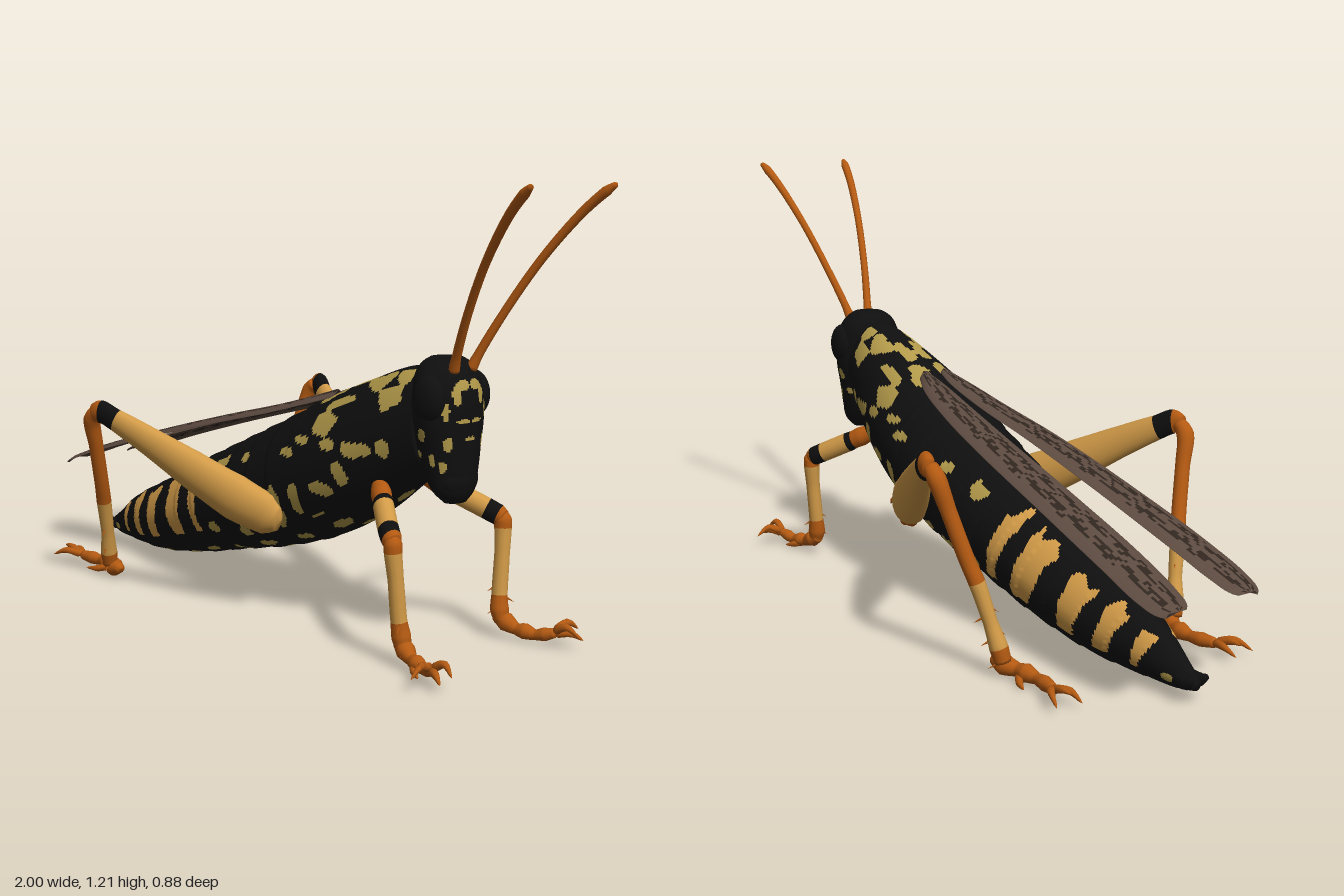
import * as THREE from 'three';

const mat = (name, hex) => Object.assign(new THREE.MeshStandardMaterial({ color: hex }), { name });
const MATS = [
  mat('black', 0x0f0f0f), mat('yellow', 0xb39a4a), mat('tan', 0xd29b48),
  mat('orange', 0xb45a12), mat('wingBrown', 0x5c4a40), mat('wingDark', 0x30261f),
];
const BLACK = 0, YELLOW = 1, TAN = 2, ORANGE = 3, WING = 4, WINGDARK = 5;

// Rows of [position, ...values] to a smooth lookup
function profile(rows) {
  const k = rows[0].length - 1;
  const it = new THREE.CubicInterpolant(rows.map(r => r[0]), rows.flatMap(r => r.slice(1)), k, new Array(k).fill(0));
  return t => [...it.evaluate(t)];
}

// Closed tube-like surface; each cell takes the material that paint() picks
function skin(name, nu, nv, point, paint) {
  const pos = [], pts = [], buckets = MATS.map(() => []);
  for (let i = 0; i <= nu; i++) for (let j = 0; j < nv; j++) {
    const p = point(i / nu, (j / nv) * Math.PI * 2);
    pts.push(p);
    pos.push(p.x, p.y, p.z);
  }
  for (let i = 0; i < nu; i++) for (let j = 0; j < nv; j++) {
    const a = i * nv + j, b = i * nv + (j + 1) % nv, c = a + nv, d = b + nv;
    const mid = pts[a].clone().add(pts[d]).multiplyScalar(0.5);
    buckets[paint(mid, (i + 0.5) / nu)].push(a, b, c, b, d, c);
  }
  const geo = new THREE.BufferGeometry();
  geo.setAttribute('position', new THREE.Float32BufferAttribute(pos, 3));
  geo.setIndex(buckets.flat());
  const used = [];
  let start = 0;
  buckets.forEach((b, m) => {
    if (!b.length) return;
    geo.addGroup(start, b.length, used.length);
    used.push(MATS[m]);
    start += b.length;
  });
  geo.computeVertexNormals();
  const mesh = new THREE.Mesh(geo, used.length > 1 ? used : used[0]);
  mesh.name = name;
  return mesh;
}

// Limb through stations [x, y, z, radius, colour]; each colour runs to the next station
function limb(name, st, side = 1, flat = 1, nv = 12, per = 6) {
  const n = st.length - 1, nu = n * per;
  const curve = new THREE.CatmullRomCurve3(st.map(s => new THREE.Vector3(s[0], s[1], s[2] * side)), false, 'centripetal');
  const Z = new THREE.Vector3(0, 0, 1);
  return skin(name, nu, nv, (u, a) => {
    const i = Math.min(n - 1, Math.floor(u * n + 1e-6)), f = u * n - i;
    const r = u === 0 || u === 1 ? 0 : THREE.MathUtils.lerp(st[i][3], st[i + 1][3], f);
    const t = curve.getTangent(u), n1 = t.clone().cross(Z).normalize(), n2 = t.clone().cross(n1);
    return curve.getPoint(u).addScaledVector(n1, r * Math.cos(a)).addScaledVector(n2, r * flat * Math.sin(a));
  }, (p, u) => st[Math.min(n - 1, Math.floor(u * n))][4]);
}

// True where a ragged oval [cx, cy, rx, ry] covers (x, y)
const wobble = (x, y) => 0.25 * Math.sin(83 * x + 51 * y) + 0.2 * Math.sin(97 * y - 61 * x + 1);
const inSpots = (list, x, y) => list.some(([cx, cy, rx, ry]) =>
  ((x - cx) / rx) ** 2 + ((y - cy) / ry) ** 2 < 1 + wobble(x, y) * 0.9);

// x, top, bottom, half width
const bodyAt = profile([
  [-0.95, 0.07, 0.04, 0.012], [-0.9, 0.1, 0.03, 0.03], [-0.8, 0.17, 0.025, 0.06], [-0.6, 0.265, 0.03, 0.11],
  [-0.4, 0.36, 0.065, 0.145], [-0.2, 0.45, 0.115, 0.165], [0, 0.54, 0.165, 0.178], [0.2, 0.635, 0.235, 0.178],
  [0.35, 0.695, 0.315, 0.155], [0.48, 0.74, 0.41, 0.12], [0.57, 0.75, 0.48, 0.09],
]);
const SIDE_SPOTS = [
  [0.27, 0.575, 0.05, 0.036], [0.32, 0.665, 0.05, 0.018], [0.48, 0.68, 0.035, 0.045], [0.4, 0.52, 0.05, 0.022],
  [0.48, 0.535, 0.02, 0.025], [0.31, 0.525, 0.03, 0.016], [0.2, 0.52, 0.03, 0.012], [0.15, 0.48, 0.03, 0.012],
  [0.28, 0.4, 0.035, 0.02], [0.35, 0.45, 0.022, 0.03], [0.26, 0.31, 0.04, 0.018], [0.11, 0.32, 0.025, 0.06],
  [0.19, 0.36, 0.018, 0.045], [0.03, 0.24, 0.03, 0.02], [-0.06, 0.21, 0.025, 0.02], [-0.13, 0.3, 0.02, 0.025],
  [-0.2, 0.2, 0.025, 0.02], [-0.19, 0.39, 0.03, 0.025], [-0.06, 0.43, 0.02, 0.015], [-0.88, 0.06, 0.02, 0.012],
];
const TOP_SPOTS = [
  [0.22, 0.045, 0.05, 0.03], [0.33, 0.025, 0.055, 0.02], [0.42, 0.06, 0.05, 0.026],
  [0.3, 0.1, 0.05, 0.016], [0.5, 0.05, 0.03, 0.02], [0.04, 0.13, 0.1, 0.012],
];
const BELLY_SPOTS = [
  [0.45, 0, 0.025, 0.02], [0.28, 0.07, 0.035, 0.02], [0.31, 0, 0.025, 0.014], [0.14, 0.08, 0.03, 0.018], [0, 0, 0.055, 0.026],
  [-0.02, 0.085, 0.03, 0.016], [-0.17, 0.06, 0.03, 0.018], [-0.3, 0.07, 0.025, 0.016], [-0.43, 0.04, 0.025, 0.015], [-0.57, 0.05, 0.025, 0.014],
];
// Abdomen bands: place along the body, half thickness
const BANDS = [[-0.755, 0.02], [-0.645, 0.034], [-0.52, 0.042], [-0.345, 0.052], [-0.215, 0.028]];

function paintBody(p) {
  const [top, bot] = bodyAt(p.x), f = (p.y - (top + bot) / 2) / ((top - bot) / 2);
  const s = p.x + 0.36 * p.y, z = Math.abs(p.z);
  if (f > -0.52 && f < 0.78 + wobble(p.x, p.y) * 0.3 &&
      BANDS.some(([c, w]) => Math.abs(s - c) < w * (0.8 + 0.35 * f + 0.35 * wobble(0.5 * p.y, z)))) return TAN;
  if (f > 0.72 ? inSpots(TOP_SPOTS, p.x, z) : f > -0.72 ? inSpots(SIDE_SPOTS, p.x, p.y) : inSpots(BELLY_SPOTS, p.x, z)) return YELLOW;
  return BLACK;
}

function makeBody() {
  return skin('body', 250, 128, (u, a) => {
    const x = -0.95 + 1.52 * u, [top, bot, w] = bodyAt(x);
    const yc = (top + bot) / 2, h = (top - bot) / 2, c = Math.cos(a);
    const s = (x + 0.36 * (yc + h * c)) / 0.11;
    // overlapping abdomen rings
    let k = u === 0 || u === 1 ? 0 : 1;
    if (x < 0.15) k *= 1.015 - 0.03 * (s - Math.floor(s));
    return new THREE.Vector3(x, yc + h * k * c, w * k * Math.sin(a) * (1 - (c > 0 ? 0.1 : 0.05) * c));
  }, paintBody);
}

// y, centre x, half depth, half width
const headAt = profile([
  [0.4, 0.63, 0.02, 0.03], [0.43, 0.624, 0.044, 0.06], [0.48, 0.612, 0.063, 0.076], [0.55, 0.604, 0.075, 0.089],
  [0.62, 0.6, 0.08, 0.102], [0.69, 0.598, 0.08, 0.1], [0.74, 0.593, 0.07, 0.085], [0.765, 0.592, 0.055, 0.06], [0.778, 0.592, 0.035, 0.035],
]);
const FACE_SPOTS = [
  [0.712, 0.025, 0.014, 0.022], [0.69, 0.042, 0.026, 0.011], [0.62, 0.026, 0.005, 0.02], [0.645, 0.068, 0.025, 0.008],
  [0.56, 0.06, 0.02, 0.012], [0.575, 0.008, 0.006, 0.014], [0.5, 0.068, 0.015, 0.008],
];
const CHEEK_SPOTS = [[0.6, 0.585, 0.012, 0.02], [0.575, 0.53, 0.014, 0.012], [0.625, 0.52, 0.008, 0.018]];

function makeHead() {
  const head = new THREE.Group();
  head.name = 'head';
  head.add(skin('skull', 100, 90, (u, a) => {
    const y = 0.4 + 0.378 * u, [cx, rx, rz] = headAt(y), k = u === 0 || u === 1 ? 0 : 1;
    return new THREE.Vector3(cx + rx * k * Math.sin(a), y, rz * k * Math.cos(a));
  }, p => ((p.x > 0.64 ? inSpots(FACE_SPOTS, p.y, Math.abs(p.z)) : inSpots(CHEEK_SPOTS, p.x, p.y)) ? YELLOW : BLACK)));
  const mouth = new THREE.Mesh(new THREE.SphereGeometry(1, 20, 14), MATS[BLACK]);
  mouth.name = 'mouth';
  mouth.scale.set(0.04, 0.055, 0.066);
  mouth.position.set(0.635, 0.465, 0);
  head.add(mouth);
  for (const side of [1, -1]) {
    const eye = new THREE.Mesh(new THREE.SphereGeometry(1, 24, 16), MATS[BLACK]);
    eye.name = 'eye';
    eye.scale.set(0.05, 0.062, 0.036);
    eye.position.set(0.61, 0.675, side * 0.08);
    head.add(eye, limb('antenna', [
      [0.645, 0.74, 0.03, 0.016, ORANGE], [0.665, 0.785, 0.04, 0.012, ORANGE], [0.725, 0.895, 0.067, 0.011, ORANGE],
      [0.813, 1.03, 0.1, 0.011, ORANGE], [0.91, 1.145, 0.13, 0.012, ORANGE], [0.97, 1.198, 0.145, 0.013, ORANGE], [0.998, 1.217, 0.152, 0.006, ORANGE],
    ], side, 1, 10));
  }
  return head;
}

// x, y, centre z, half width of a wing
const wingAt = profile([
  [-1, 0.28, 0.115, 0.02], [-0.98, 0.287, 0.117, 0.045], [-0.93, 0.305, 0.118, 0.06], [-0.8, 0.35, 0.113, 0.066],
  [-0.5, 0.44, 0.1, 0.064], [-0.2, 0.523, 0.083, 0.058], [0, 0.575, 0.062, 0.05], [0.15, 0.62, 0.045, 0.035], [0.22, 0.643, 0.035, 0.015],
]);
function makeWing(side) {
  return skin('wing', 130, 48, (u, a) => {
    const x = -1 + 1.22 * u, [y, cz, hw] = wingAt(x), k = u === 0 || u === 1 ? 0 : 1, s = Math.sin(a) * k;
    // gently arched, outer edge lowest
    return new THREE.Vector3(x, y + 0.004 + 0.004 * k * Math.cos(a) - 0.012 * s * s - 0.005 * s * side, side * cz + hw * s);
  }, p => {
    const [, cz, hw] = wingAt(p.x), v = (Math.abs(p.z) - cz) / hw;
    const grain = Math.sin(61 * p.x + 9 * v) + Math.sin(137 * p.x - 14 * v) + Math.sin(29 * p.x + 21 * v);
    return Math.abs(Math.abs(v) - 0.35) < 0.16 && grain > -0.3 || Math.abs(v) < 0.65 && grain > 1.5 ? WINGDARK : WING;
  });
}

// Pointed claws and spurs as short hooks
const hooks = (list, side) => list.map(([a, b, c]) =>
  limb('claw', [[...a, 0.012, ORANGE], [...b, 0.01, ORANGE], [...c, 0.002, ORANGE]], side, 1, 8, 4));

// Row of fine spines leaning out from a shin
function spines(from, to, count, side) {
  return Array.from({ length: count }, (_, i) => {
    const p = from.map((v, k) => v + (to[k] - v) * i / (count - 1)), d = i % 2 ? 1 : -1;
    return limb('spine', [[...p, 0.006, ORANGE], [p[0] + 0.022 * d, p[1] - 0.022, p[2] + 0.03 * d, 0.001, ORANGE]], side, 1, 5, 3);
  });
}

function makeHindLeg(side) {
  const leg = new THREE.Group();
  leg.name = 'hindLeg';
  leg.add(
    limb('hindThigh', [
      [0.13, 0.285, 0.165, 0.03, TAN], [0.09, 0.298, 0.182, 0.06, TAN], [0, 0.337, 0.225, 0.07, TAN], [-0.12, 0.405, 0.285, 0.06, TAN],
      [-0.24, 0.475, 0.345, 0.045, TAN], [-0.335, 0.527, 0.392, 0.035, BLACK], [-0.38, 0.55, 0.415, 0.034, ORANGE], [-0.41, 0.545, 0.425, 0.022, ORANGE],
    ], side, 0.66, 20),
    limb('hindShin', [
      [-0.395, 0.552, 0.416, 0.02, ORANGE], [-0.427, 0.522, 0.415, 0.025, ORANGE], [-0.445, 0.44, 0.392, 0.021, ORANGE], [-0.475, 0.31, 0.355, 0.021, ORANGE],
      [-0.492, 0.255, 0.338, 0.022, TAN], [-0.515, 0.15, 0.312, 0.019, TAN], [-0.532, 0.085, 0.298, 0.025, ORANGE], [-0.54, 0.04, 0.288, 0.022, ORANGE],
    ], side),
    limb('hindFoot', [
      [-0.485, 0.04, 0.285, 0.012, ORANGE], [-0.53, 0.035, 0.28, 0.028, ORANGE], [-0.57, 0.03, 0.265, 0.018, ORANGE], [-0.6, 0.03, 0.26, 0.025, ORANGE],
      [-0.64, 0.028, 0.258, 0.015, ORANGE], [-0.68, 0.03, 0.262, 0.02, ORANGE], [-0.73, 0.032, 0.272, 0.013, ORANGE],
    ], side),
    ...hooks([
      [[-0.72, 0.032, 0.27], [-0.77, 0.04, 0.255], [-0.82, 0.025, 0.255]], [[-0.72, 0.032, 0.272], [-0.76, 0.045, 0.305], [-0.81, 0.025, 0.325]],
      [[-0.72, 0.03, 0.27], [-0.77, 0.05, 0.28], [-0.81, 0.05, 0.28]], [[-0.58, 0.025, 0.265], [-0.61, 0.015, 0.29], [-0.65, 0.012, 0.305]],
    ], side),
    ...spines([-0.505, 0.2, 0.325], [-0.54, 0.05, 0.292], 6, side));
  return leg;
}

function makeFrontLeg(side) {
  const leg = new THREE.Group();
  leg.name = 'frontLeg';
  leg.add(
    limb('frontThigh', [
      [0.43, 0.43, 0.08, 0.022, ORANGE], [0.465, 0.41, 0.105, 0.03, ORANGE], [0.487, 0.397, 0.12, 0.028, BLACK], [0.502, 0.388, 0.131, 0.03, TAN],
      [0.572, 0.348, 0.18, 0.03, BLACK], [0.602, 0.332, 0.197, 0.029, ORANGE], [0.62, 0.325, 0.203, 0.02, ORANGE],
    ], side, 0.9, 16),
    limb('frontShin', [
      [0.6, 0.345, 0.2, 0.014, ORANGE], [0.612, 0.322, 0.202, 0.024, ORANGE], [0.613, 0.3, 0.202, 0.024, TAN], [0.617, 0.23, 0.196, 0.021, TAN],
      [0.62, 0.12, 0.186, 0.022, ORANGE], [0.625, 0.08, 0.182, 0.026, ORANGE], [0.635, 0.045, 0.182, 0.02, ORANGE],
    ], side),
    limb('frontFoot', [
      [0.61, 0.065, 0.18, 0.015, ORANGE], [0.645, 0.05, 0.186, 0.026, ORANGE], [0.675, 0.036, 0.194, 0.016, ORANGE], [0.7, 0.034, 0.2, 0.022, ORANGE],
      [0.73, 0.03, 0.208, 0.014, ORANGE], [0.755, 0.036, 0.216, 0.018, ORANGE], [0.785, 0.045, 0.228, 0.012, ORANGE],
    ], side),
    ...hooks([
      [[0.775, 0.045, 0.225], [0.82, 0.068, 0.225], [0.855, 0.045, 0.235]], [[0.775, 0.045, 0.228], [0.785, 0.065, 0.27], [0.79, 0.04, 0.31]],
      [[0.775, 0.04, 0.225], [0.815, 0.045, 0.25], [0.845, 0.03, 0.265]], [[0.69, 0.03, 0.2], [0.71, 0.02, 0.22], [0.74, 0.012, 0.235]],
    ], side),
    ...spines([0.62, 0.15, 0.19], [0.63, 0.06, 0.182], 4, side));
  return leg;
}

export function createModel() {
  const model = new THREE.Group();
  model.name = 'grasshopper';
  model.add(makeBody(), makeHead());
  for (const side of [1, -1]) {
    model.add(makeWing(side), makeHindLeg(side), makeFrontLeg(side));
    model.add(limb('tailProng', [[-0.89, 0.06, 0.015, 0.02, BLACK], [-0.93, 0.06, 0.022, 0.018, BLACK], [-0.955, 0.075, 0.026, 0.006, BLACK]], side, 1, 8));
  }
  return model;
}
